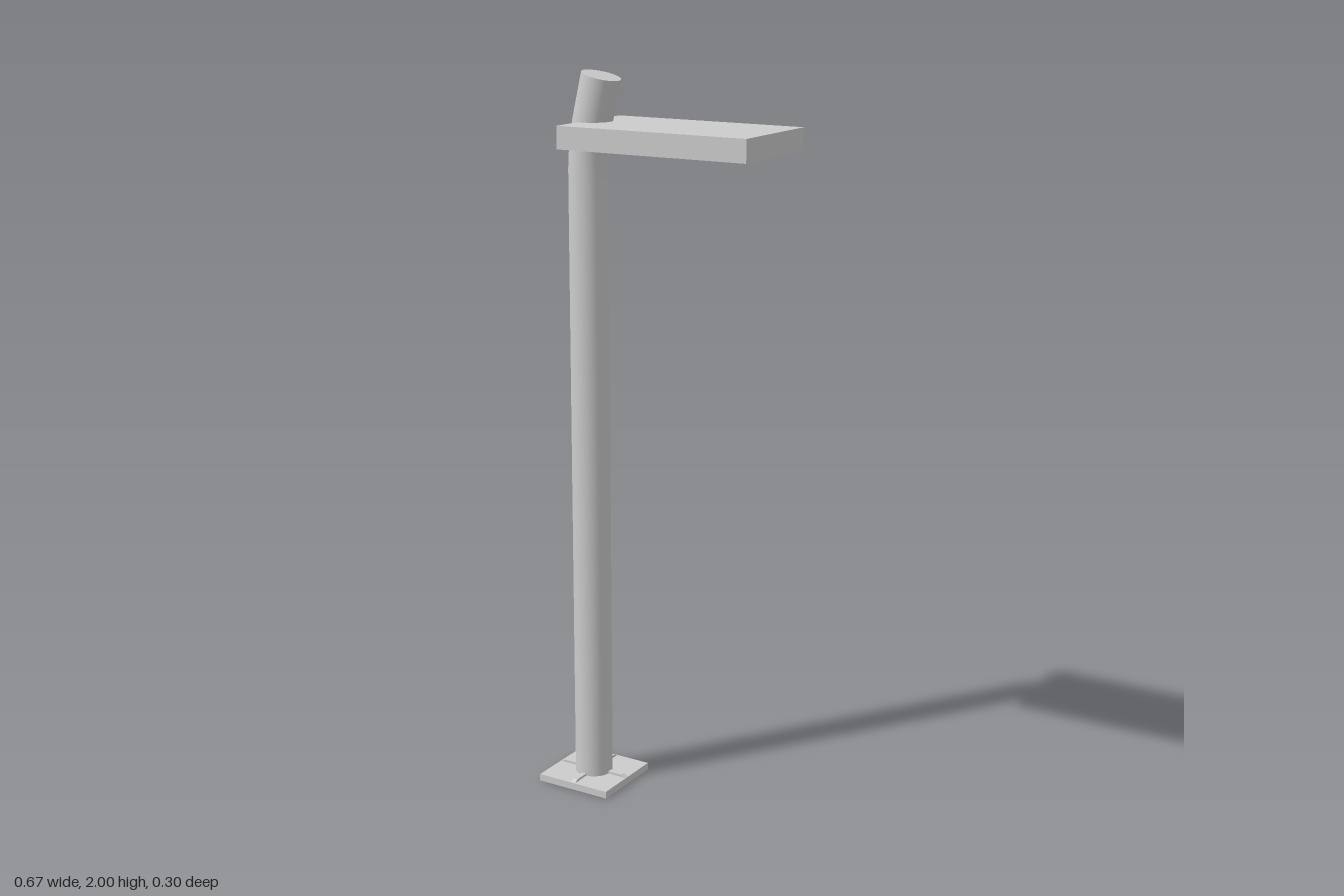
import * as THREE from 'three';

const material = new THREE.MeshStandardMaterial({ color: 0xcccccc });
const POLE_X = -0.223;
const BASE_TOP = 0.02;

function part(name, geometry, x = 0, y = 0, z = 0) {
  const mesh = new THREE.Mesh(geometry, material);
  mesh.name = name;
  mesh.position.set(x, y, z);
  return mesh;
}

// Cylinder bent towards +x: straight shaft, arc, then a short straight tip
function bentPole(radius, shaft, bendRadius, angle, tip) {
  const arc = bendRadius * angle;
  const length = shaft + arc + tip;
  const geometry = new THREE.CylinderGeometry(radius, radius, length, 48, 80);
  geometry.translate(0, length / 2, 0);
  const pos = geometry.attributes.position;
  const nor = geometry.attributes.normal;
  for (let i = 0; i < pos.count; i++) {
    const s = pos.getY(i);
    const offset = pos.getX(i);
    const a = THREE.MathUtils.clamp((s - shaft) / bendRadius, 0, angle);
    const rest = Math.max(0, s - shaft - arc);
    const c = Math.cos(a), n = Math.sin(a);
    const x = bendRadius * (1 - c) + rest * n + offset * c;
    const y = Math.min(s, shaft) + bendRadius * n + rest * c - offset * n;
    pos.setXY(i, x, y);
    const nx = nor.getX(i), ny = nor.getY(i);
    nor.setXY(i, nx * c + ny * n, ny * c - nx * n);
  }
  return geometry;
}

// Low rib with slanted ends, running along x
function ribGeometry(halfLength, height, width) {
  const shape = new THREE.Shape([
    new THREE.Vector2(-halfLength, 0),
    new THREE.Vector2(halfLength, 0),
    new THREE.Vector2(halfLength - 0.012, height),
    new THREE.Vector2(-halfLength + 0.012, height),
  ]);
  const geometry = new THREE.ExtrudeGeometry(shape, { depth: width, bevelEnabled: false });
  return geometry.translate(0, 0, -width / 2);
}

// Flat rectangle outline, used for the lamp rim and its opening
function rectangle(Type, x0, x1, halfZ) {
  return new Type([
    new THREE.Vector2(x0, -halfZ), new THREE.Vector2(x1, -halfZ),
    new THREE.Vector2(x1, halfZ), new THREE.Vector2(x0, halfZ),
  ]);
}

export function createModel() {
  const model = new THREE.Group();
  model.name = 'streetLamp';

  // Base plate with crossed ribs
  model.add(part('basePlate', new THREE.BoxGeometry(0.224, BASE_TOP, 0.224), POLE_X, BASE_TOP / 2));
  for (let i = 0; i < 2; i++) {
    const rib = part('baseRib', ribGeometry(0.109, 0.007, 0.014), POLE_X, BASE_TOP);
    rib.rotation.y = i * Math.PI / 2;
    model.add(rib);
  }

  // Pole
  model.add(part('pole', bentPole(0.053, 1.72, 0.66, 0.234, 0.108), POLE_X, 0.01));

  // Lamp head: solid upper slab and a lower rim around the light opening
  const head = new THREE.Group();
  head.name = 'lampHead';
  const x0 = -0.22, x1 = 0.335, bottom = 1.81, middle = 1.83, top = 1.87;
  head.add(part('headSlab', new THREE.BoxGeometry(x1 - x0, top - middle, 0.3),
    (x0 + x1) / 2, (middle + top) / 2));
  const rim = rectangle(THREE.Shape, x0, x1, 0.15);
  rim.holes.push(rectangle(THREE.Path, 0.01, 0.215, 0.08));
  const rimGeometry = new THREE.ExtrudeGeometry(rim, { depth: middle - bottom, bevelEnabled: false });
  rimGeometry.rotateX(Math.PI / 2);
  head.add(part('headRim', rimGeometry, 0, middle));
  model.add(head);

  return model;
}
